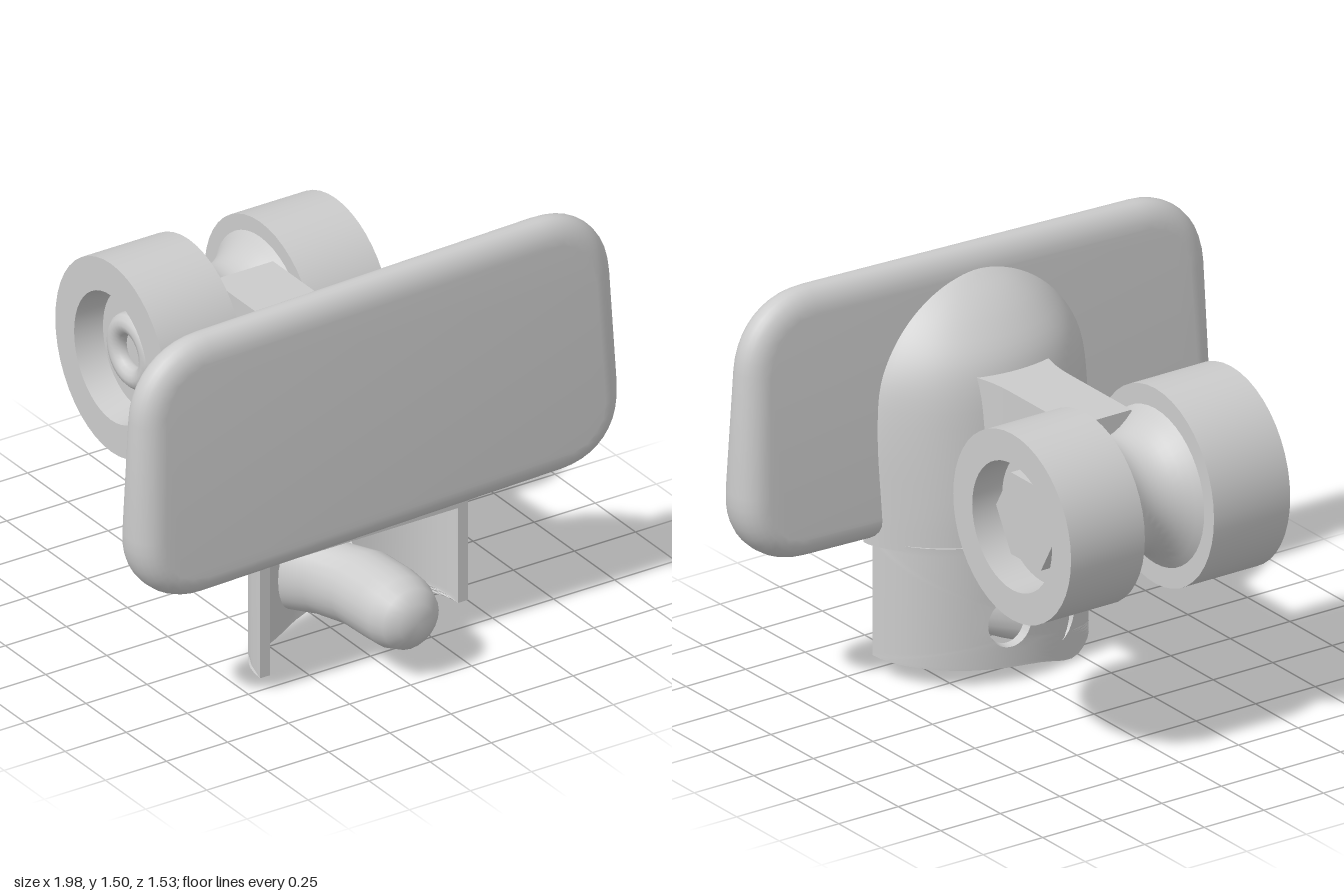
import * as THREE from 'three';
import { toCreasedNormals } from 'three/addons/utils/BufferGeometryUtils.js';
import { ParametricGeometry } from 'three/addons/geometries/ParametricGeometry.js';

const lerp = THREE.MathUtils.lerp;
const V2 = (x, y) => new THREE.Vector2(x, y);
const material = new THREE.MeshStandardMaterial({ color: 0xcccccc, side: THREE.DoubleSide });

function part(name, geometry, crease = 0.6) {
  const mesh = new THREE.Mesh(toCreasedNormals(geometry, crease), material);
  mesh.name = name;
  return mesh;
}

// Moves every vertex of a geometry by a rule
function warp(geometry, rule) {
  const p = geometry.attributes.position, v = new THREE.Vector3();
  for (let i = 0; i < p.count; i++) {
    rule(v.fromBufferAttribute(p, i));
    p.setXYZ(i, v.x, v.y, v.z);
  }
  return geometry;
}

// Closed outline with rounded corners
function roundedShape(corners, r) {
  const s = new THREE.Shape(), n = corners.length;
  corners.forEach((c, i) => {
    const a = corners[(i + n - 1) % n], b = corners[(i + 1) % n];
    const p = c.clone().add(a.clone().sub(c).setLength(r));
    const q = c.clone().add(b.clone().sub(c).setLength(r));
    if (i) s.lineTo(p.x, p.y); else s.moveTo(p.x, p.y);
    const k = 0.6, p2 = p.clone().lerp(c, k), q2 = q.clone().lerp(c, k);
    s.bezierCurveTo(p2.x, p2.y, q2.x, q2.y, q.x, q.y);
  });
  s.closePath();
  return s;
}

// Wide pad, thicker at the bottom than at the top
function makePlate() {
  const shape = roundedShape([V2(-1.0, 0.48), V2(1.0, 0.53), V2(0.94, 1.51), V2(-0.97, 1.46)], 0.27);
  const g = new THREE.ExtrudeGeometry(shape, {
    depth: 0.02, bevelThickness: 0.1, bevelSize: 0.085, bevelOffset: -0.085,
    bevelSegments: 6, curveSegments: 10,
  });
  warp(g, v => {
    const t = (v.y - 0.5) / 1.0;
    v.z = lerp(0.498, 0.51, t) + (v.z - 0.01) * lerp(1.02, 0.58, t);
  });
  return part('plate', g, 0.8);
}

// Half-round dome behind the plate: rows of [y, half width, rear z]
function makeDome() {
  const rows = [
    [0.5, 0.42, 0.14], [0.65, 0.42, 0.14], [0.9, 0.42, 0.16], [1.08, 0.4, 0.18],
    [1.18, 0.36, 0.21], [1.28, 0.29, 0.28], [1.35, 0.21, 0.35], [1.4, 0.12, 0.42], [1.43, 0.01, 0.47],
  ];
  const curve = new THREE.CatmullRomCurve3(rows.map(r => new THREE.Vector3(...r)));
  const g = new ParametricGeometry((u, v, out) => {
    const [y, w, rear] = curve.getPoint(v).toArray();
    const a = u * Math.PI;
    // small flare where the dome meets the plate
    const flare = 1 + 0.08 * Math.pow(Math.abs(Math.cos(a)), 12);
    out.set(w * flare * Math.cos(a), y, 0.47 - (0.47 - rear) * Math.sin(a));
  }, 36, 28);
  return part('dome', g, 1);
}

// Floor closing the dome above the hollow skirt
function makeDomeFloor() {
  const s = new THREE.Shape();
  s.absellipse(0, -0.47, 0.41, 0.32, 0, Math.PI, false);
  s.closePath();
  const g = new THREE.ExtrudeGeometry(s, { depth: 0.06, bevelEnabled: false, curveSegments: 24 });
  g.rotateX(-Math.PI / 2).translate(0, 0.45, 0);
  return part('domeFloor', g);
}

// Thin curved skirt with a hole through its back and an uneven lower edge
function makeSkirt() {
  const thick = 0.04;
  const bottom = x => 0.05 + 0.06 * x - 0.037 * Math.exp(-(((x + 0.22) / 0.12) ** 2));
  const g = new ParametricGeometry((u, v, out) => {
    // walk round a square from corner to corner
    const side = Math.min(3, Math.floor(u * 4 + 1e-9)), t = (u * 4 - side) * 2 - 1;
    const [sx, sy] = [[t, -1], [1, t], [-t, 1], [-1, -t]][side];
    const th = Math.atan2(sy, sx);
    const edgeA = Math.PI / 2 * (1 - sx);
    const edgeY = lerp(bottom(0.42 * Math.cos(edgeA)), 0.52, (sy + 1) / 2);
    const holeA = 1.4 - 0.2 * Math.cos(th), holeY = 0.22 + 0.09 * Math.sin(th);
    // outside from hole to edge, then back along the inside
    const step = Math.round(v * 18);
    const k = step <= 8 ? step / 8 : step <= 17 ? (17 - step) / 8 : 0;
    const inset = step >= 9 && step <= 17 ? thick : 0;
    const a = lerp(holeA, edgeA, k);
    out.set((0.425 - inset) * Math.cos(a), lerp(holeY, edgeY, k), 0.46 - (0.325 - inset) * Math.sin(a));
  }, 96, 18);
  return part('skirt', g, 0.7);
}

// Blunt peg that bends aside to join the skirt beside the hole
function makePeg() {
  const profile = [[0.14, 0], [0.14, 0.14], [0.14, 0.28], [0.14, 0.42], [0.135, 0.5], [0.115, 0.56], [0.07, 0.595], [0, 0.605]];
  const g = new THREE.LatheGeometry(profile.map(p => V2(...p)), 24);
  g.rotateX(Math.PI / 2).translate(0.02, 0.237, 0.16);
  warp(g, v => {
    const t = Math.max(0, (0.5 - v.z) / 0.34);
    v.x = lerp(v.x, v.x * 0.6 - 0.14, t * t);
    v.y -= 0.02 * t;
  });
  return part('peg', g, 1);
}

// Turned part on the x axis: profile of [radius, x] from -x to +x
function turned(name, profile, segments = 44) {
  const g = new THREE.LatheGeometry(profile.map(p => V2(...p)), segments);
  return part(name, g.rotateZ(-Math.PI / 2), 0.5);
}

// Two wheels on a waisted hub
function makeClamp() {
  const clamp = new THREE.Group();
  clamp.name = 'clamp';
  clamp.position.set(0, 0.88, -0.42);

  const left = turned('leftWheel', [[0, 0.155], [0.347, 0.155], [0.347, 0.465], [0.235, 0.465], [0.235, 0.34], [0, 0.34]]);
  const right = turned('rightWheel', [[0, -0.35], [0.21, -0.35], [0.23, -0.455], [0.347, -0.455], [0.347, -0.135], [0, -0.135]]);
  right.scale.y = 1.05;

  const waist = [];
  for (let i = 0; i <= 12; i++) {
    const t = i / 6 - 1;
    waist.push([0.205 + 0.09 * t * t, 0.01 + 0.15 * t]);
  }
  const hub = turned('hub', waist);

  const bolt = part('hexBolt', new THREE.CylinderGeometry(0.176, 0.176, 0.08, 6).rotateZ(-Math.PI / 2));
  bolt.position.set(0.36, 0, 0.01);

  const ring = part('boltRing', new THREE.TorusGeometry(0.1, 0.04, 12, 28).rotateY(Math.PI / 2), 1);
  ring.position.x = -0.36;

  clamp.add(left, right, hub, bolt, ring);
  return clamp;
}

// Arm from dome to clamp, widening slightly at the dome
function makeArm() {
  const g = new THREE.BoxGeometry(0.25, 0.48, 0.55, 1, 1, 12);
  warp(g, v => {
    const t = Math.max(0, (v.z - 0.1) / 0.175);
    v.x *= 1 + 0.25 * t * t;
  });
  g.translate(0.01, 0.89, -0.035);
  return part('arm', g);
}

export function createModel() {
  const model = new THREE.Group();
  model.name = 'clampedPad';
  model.add(makePlate(), makeDome(), makeDomeFloor(), makeSkirt(), makePeg(), makeArm(), makeClamp());
  return model;
}
